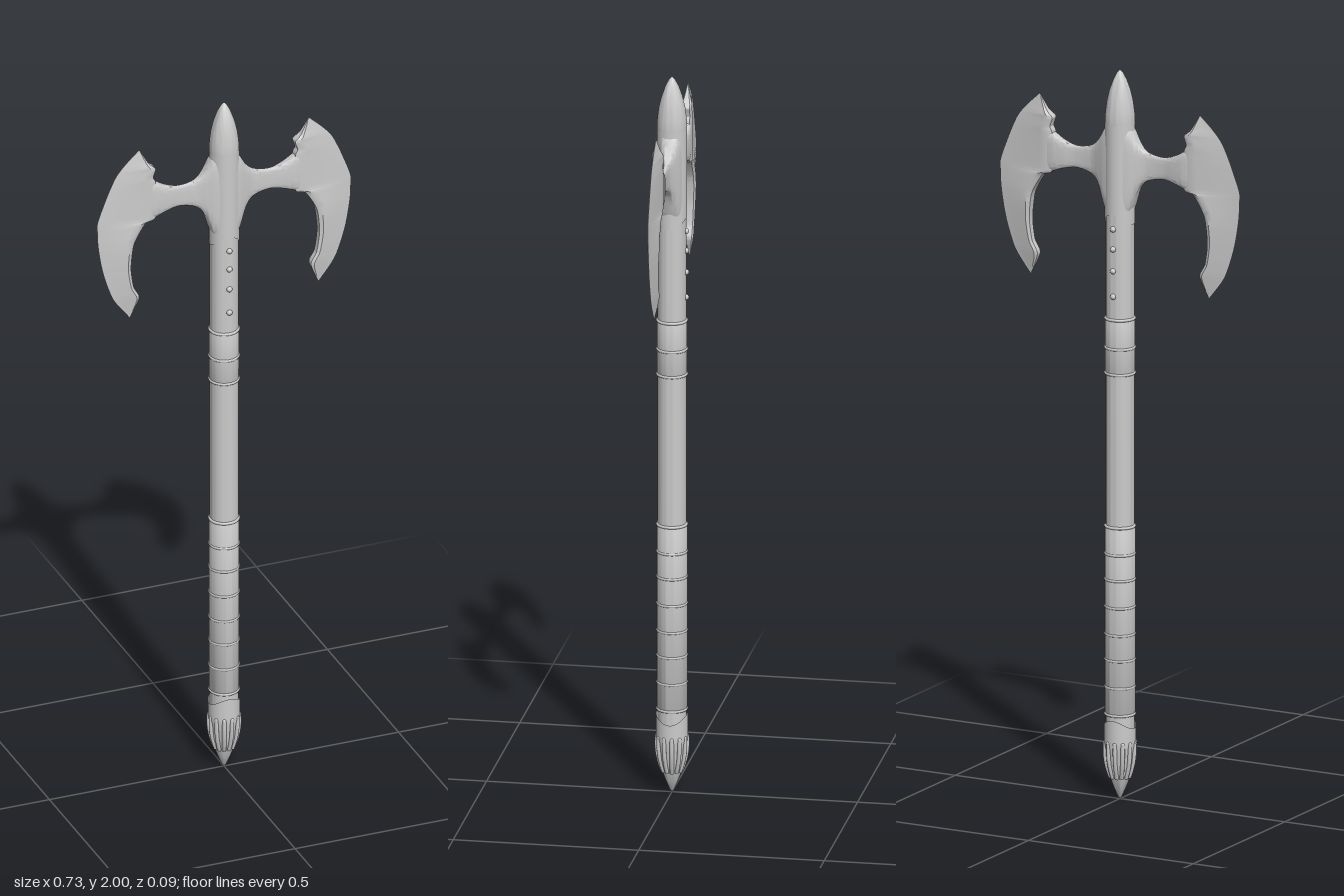
import * as THREE from 'three';
import { toCreasedNormals } from 'three/addons/utils/BufferGeometryUtils.js';

const material = new THREE.MeshStandardMaterial({ color: 0xcccccc, side: THREE.DoubleSide });

function part(parent, name, geometry) {
  const mesh = new THREE.Mesh(geometry, material);
  mesh.name = name;
  parent.add(mesh);
  return mesh;
}

// Turned part from [radius, height] pairs, bottom to top
function turned(profile) {
  const points = profile.map(([r, y]) => new THREE.Vector2(r, y));
  return toCreasedNormals(new THREE.LatheGeometry(points, 40), 0.6);
}

// Skin a list of closed rings of [x, y, z] points
function loft(rings) {
  const n = rings[0].length, index = [];
  for (let i = 0; i < rings.length - 1; i++) {
    for (let j = 0; j < n; j++) {
      const k = (j + 1) % n;
      const a = i * n + j, b = i * n + k, c = a + n, d = b + n;
      index.push(a, c, b, b, c, d);
    }
  }
  const g = new THREE.BufferGeometry();
  g.setAttribute('position', new THREE.Float32BufferAttribute(rings.flat(2), 3));
  g.setIndex(index);
  return toCreasedNormals(g, 0.6);
}

const spline = (pts, tension = 0.5) => new THREE.CatmullRomCurve3(
  pts.map(([x, y, z = 0]) => new THREE.Vector3(x, y, z)), false, 'catmullrom', tension);

// Crescent blade: rows between the inner outline and the cutting edge
function crescent() {
  const inner = spline([[.27, 1.405], [.246, 1.465], [.262, 1.5], [.27, 1.56], [.262, 1.63], [.23, 1.685],
    [.2, 1.7], [.2, 1.8], [.207, 1.82], [.2, 1.845], [.218, 1.862], [.243, 1.905]], 0.35);
  const outer = spline([[.27, 1.405], [.312, 1.46], [.33, 1.5], [.348, 1.56], [.36, 1.63], [.363, 1.68],
    [.362, 1.71], [.34, 1.77], [.323, 1.81], [.307, 1.84], [.28, 1.871], [.243, 1.905]]);
  const across = [1, .85, .65, .45, .25, .12, .04, 0];
  const rings = [];
  for (let i = 0; i <= 88; i++) {
    const a = inner.getPoint(i / 88), b = outer.getPoint(i / 88);
    const scale = Math.min(1, a.distanceTo(b) / 0.09);
    const front = across.map(u => {
      const p = a.clone().lerp(b, u);
      const half = u < .12 ? .011 + .04 * u : .0158 * (1 - u) / .88;
      return [p.x, p.y, Math.max(half * scale, .0004)];
    });
    const back = front.map(([x, y, z]) => [x, y, -z]).reverse();
    rings.push([...front, ...back]);
  }
  return loft(rings);
}

// Neck from the socket to the crescent, flared at both ends
function neck() {
  // x, lower edge, upper edge
  const edges = spline([[.025, 1.59, 1.855], [.04, 1.625, 1.838], [.06, 1.68, 1.805], [.085, 1.705, 1.783],
    [.13, 1.715, 1.775], [.17, 1.708, 1.786], [.2, 1.698, 1.803], [.235, 1.692, 1.82]]);
  // x, half thickness
  const depth = spline([[.025, .032], [.04, .027], [.06, .018], [.085, .009],
    [.13, .007], [.17, .013], [.2, .0158], [.235, .012]]);
  const soft = v => Math.sign(v) * Math.abs(v) ** 0.5;
  const rings = [];
  for (let i = 0; i <= 42; i++) {
    const e = edges.getPoint(i / 42), w = depth.getPoint(i / 42).y;
    const mid = (e.y + e.z) / 2, h = (e.z - e.y) / 2, ring = [];
    for (let j = 0; j < 32; j++) {
      const a = j / 32 * Math.PI * 2;
      ring.push([e.x, mid + h * soft(Math.sin(a)), w * soft(Math.cos(a))]);
    }
    rings.push(ring);
  }
  return loft(rings);
}

// Sleeve with one wavy end
function sleeve(radius, bottom, top, waveAtTop, wave) {
  const g = new THREE.CylinderGeometry(radius, radius, top - bottom, 48, 1, true);
  g.translate(0, (top + bottom) / 2, 0);
  const p = g.attributes.position;
  for (let i = 0; i < p.count; i++) {
    const isTop = p.getY(i) > (top + bottom) / 2;
    if (isTop === waveAtTop) {
      p.setY(i, p.getY(i) + wave * Math.cos(2 * Math.atan2(p.getX(i), p.getZ(i))));
    }
  }
  return g;
}

export function createModel() {
  const axe = new THREE.Group();
  axe.name = 'doubleAxe';

  // Handle
  part(axe, 'shaft', turned([[.038, .14], [.038, 1.86]]));
  part(axe, 'grip', turned([[.038, .235], [.0405, .24], [.0405, .745], [.038, .75]]));
  part(axe, 'upperWrap', turned([[.038, 1.165], [.0395, 1.17], [.0395, 1.32], [.038, 1.325]]));
  for (const y of [.235, .31, .385, .455, .53, .605, .675, .75, 1.17, 1.24, 1.32]) {
    const ring = part(axe, 'gripRing', new THREE.TorusGeometry(.0385, .0042, 8, 40));
    ring.rotation.x = Math.PI / 2;
    ring.position.y = y;
  }

  // Head socket and top spike
  part(axe, 'socket', sleeve(.0405, 1.595, 1.855, false, .015));
  part(axe, 'topSpike', turned([[0, 1.85], [.04, 1.852], [.0405, 1.862], [.039, 1.885], [.035, 1.915],
    [.028, 1.945], [.018, 1.973], [.008, 1.992], [0, 2]]));

  // Twin blades
  for (const turn of [0, Math.PI]) {
    const blade = new THREE.Group();
    blade.name = turn ? 'rightBlade' : 'leftBlade';
    blade.rotation.y = turn;
    part(blade, 'bladeCrescent', crescent());
    part(blade, 'bladeNeck', neck());
    axe.add(blade);
  }

  // Rivets on the front and back of the shaft
  for (const side of [1, -1]) {
    for (const y of [1.57, 1.515, 1.455, 1.385]) {
      const rivet = part(axe, 'rivet', new THREE.SphereGeometry(.008, 14, 10));
      rivet.position.set(0, y, side * .038);
    }
  }

  // Pommel: collar, pointed core and ribs
  part(axe, 'pommelCollar', sleeve(.0425, .155, .21, true, .012));
  part(axe, 'pommelCore', turned([[0, 0], [.006, .008], [.018, .036], [.028, .065], [.035, .095],
    [.038, .13], [.042, .15], [.042, .16], [.038, .162]]));
  const ribPath = spline([[.04, .157], [.0405, .13], [.038, .105], [.032, .08], [.025, .06]]);
  const ribGeometry = new THREE.TubeGeometry(ribPath, 12, .0058, 8);
  for (let i = 0; i < 12; i++) {
    const angle = (i + .3) / 12 * Math.PI * 2;
    part(axe, 'pommelRib', ribGeometry).rotation.y = angle;
    const cap = part(axe, 'pommelRibCap', new THREE.SphereGeometry(.0058, 10, 8));
    cap.position.set(.04 * Math.cos(angle), .157, -.04 * Math.sin(angle));
  }
  return axe;
}
